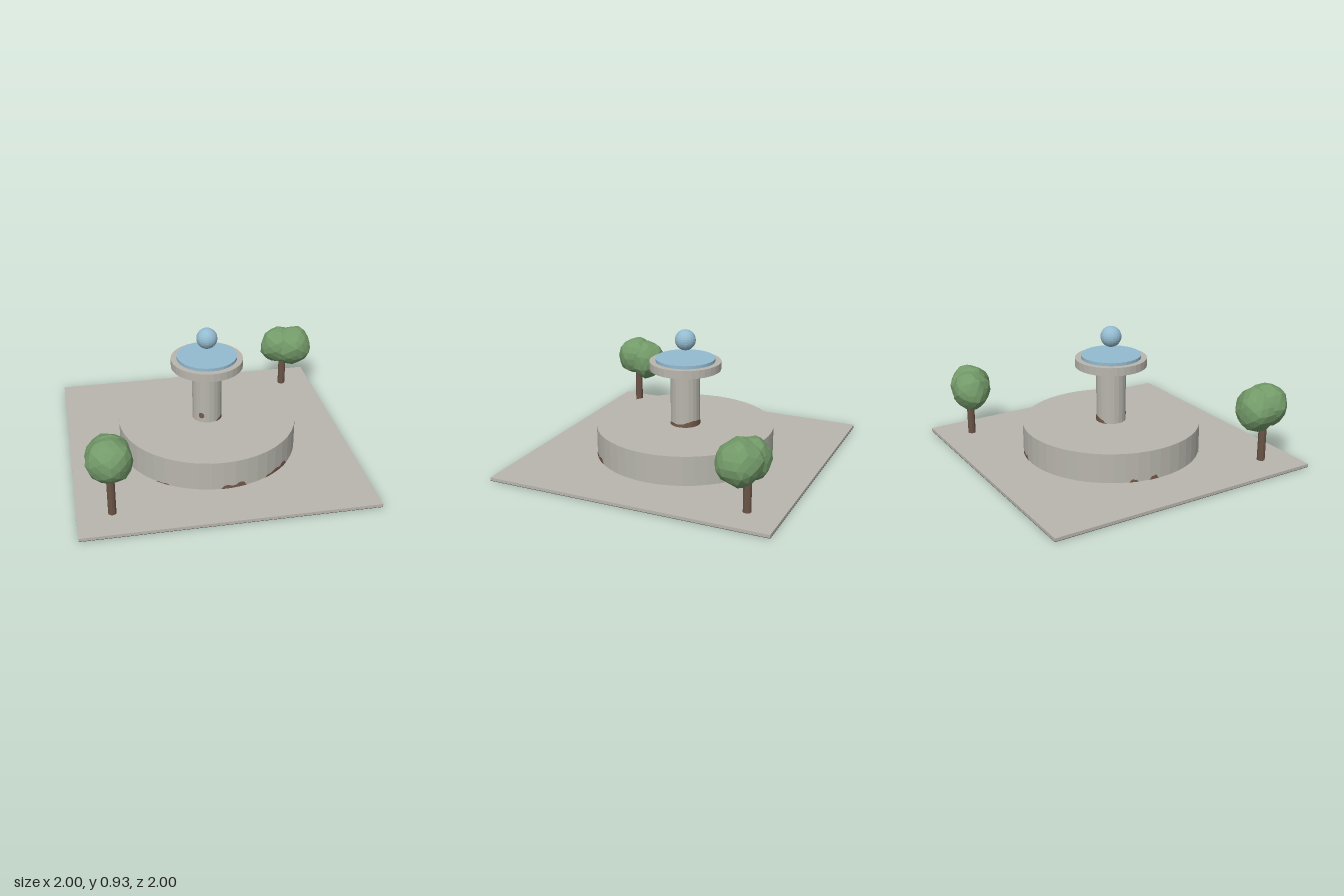
import * as THREE from 'three';

const paint = (name, color) => {
  const m = new THREE.MeshStandardMaterial({ color, flatShading: true });
  m.name = name;
  return m;
};

export function createModel() {
  const stone = paint('stone', 0xb8b6ad);
  const underside = paint('darkUnderside', 0x55534f);
  const water = paint('water', 0x94bbd0);
  const rust = paint('rust', 0x75594a);
  const bark = paint('bark', 0x6a5447);
  const leaf = paint('leaf', 0x739a69);

  const root = new THREE.Group();
  root.name = 'fountainPlaza';
  const add = (name, geometry, material, x = 0, y = 0, z = 0, parent = root) => {
    const mesh = new THREE.Mesh(geometry, material);
    mesh.name = name;
    mesh.position.set(x, y, z);
    parent.add(mesh);
    return mesh;
  };
  // Upright cylinder between two heights
  const drum = (name, r, y0, y1, sides, material, x = 0, z = 0, parent = root) =>
    add(name, new THREE.CylinderGeometry(r, r, y1 - y0, sides), material, x, (y0 + y1) / 2, z, parent);

  // Paving and fountain
  add('pavingUnderside', new THREE.BoxGeometry(2, 0.003, 2), underside, 0, 0.0015, 0);
  add('paving', new THREE.BoxGeometry(2, 0.021, 2), stone, 0, 0.0135, 0);
  drum('basin', 0.637, 0.024, 0.233, 48, stone);
  drum('column', 0.106, 0.233, 0.643, 20, stone);
  drum('upperDish', 0.255, 0.643, 0.702, 32, stone);
  drum('dishWater', 0.213, 0.702, 0.724, 32, water);
  add('waterBall', new THREE.SphereGeometry(0.074, 20, 14), water, 0, 0.853, 0);

  // Curved sheet around the axis; lower and upper give its edges for t in 0..1
  const sheet = (name, r, from, to, lower, upper) => {
    const n = Math.max(24, Math.round((to - from) / 2));
    const pos = [], index = [];
    for (let i = 0; i <= n; i++) {
      const t = i / n, a = THREE.MathUtils.degToRad(from + (to - from) * t);
      for (const y of [lower(t), upper(t)]) pos.push(r * Math.sin(a), y, r * Math.cos(a));
      if (i < n) {
        const k = i * 2;
        index.push(k, k + 2, k + 1, k + 1, k + 2, k + 3);
      }
    }
    const g = new THREE.BufferGeometry();
    g.setAttribute('position', new THREE.Float32BufferAttribute(pos, 3));
    g.setIndex(index);
    g.computeVertexNormals();
    add(name, g, rust);
  };
  // Smooth edge through evenly spaced heights, given in thousandths
  const edge = (heights) => (t) => {
    const s = t * (heights.length - 1), i = Math.min(Math.floor(s), heights.length - 2);
    return THREE.MathUtils.lerp(heights[i], heights[i + 1], THREE.MathUtils.smoothstep(s - i, 0, 1)) / 1000;
  };

  // Rust along the basin foot: start angle, end angle, heights
  [[-44, -33, [0, 7, 5, 10, 0]], [-2, 15, [0, 25, 28, 17, 20, 37, 33, 0]],
    [28, 51, [0, 18, 16, 27, 30, 20, 36, 35, 0]], [159, 174, [0, 20, 26, 18, 28, 0]],
    [249, 256, [0, 20, 16, 0]], [262, 269, [0, 24, 28, 0]]].forEach(([a, b, heights]) => {
    const up = edge(heights);
    sheet('basinRust', 0.639, a, b, () => 0.024, (t) => 0.024 + up(t));
  });

  // Rust on the column: foot, top and a single spot
  const foot = edge([0, 20, 25, 20, 24, 36, 45, 42, 38, 25, 0]);
  const top = edge([0, 20, 26, 20, 25, 21, 10, 0]);
  sheet('columnFootRust', 0.108, 22, 223, () => 0.233, (t) => 0.233 + foot(t));
  sheet('columnTopRust', 0.108, 11, 107, (t) => 0.643 - top(t), () => 0.643);
  const round = (t) => 0.022 * Math.sqrt(Math.max(0, 1 - (2 * t - 1) ** 2));
  sheet('columnRustSpot', 0.108, -43, -20, (t) => 0.288 - round(t), (t) => 0.288 + round(t));

  // Lumpy faceted foliage ball with a smooth rule for the bumps
  const lobe = (rx, ry, rz, seed) => {
    const g = new THREE.IcosahedronGeometry(1, 2);
    const p = g.attributes.position, v = new THREE.Vector3();
    for (let i = 0; i < p.count; i++) {
      v.fromBufferAttribute(p, i).normalize();
      const bump = Math.sin(5.1 * v.x + seed) * Math.sin(4.7 * v.y + 2 * seed) + 0.8 * Math.sin(5.6 * v.z + 3 * seed + v.x * 3);
      v.multiplyScalar(1 + 0.045 * bump);
      p.setXYZ(i, v.x * rx, v.y * ry, v.z * rz);
    }
    g.computeVertexNormals();
    return g;
  };

  // Trees: trunk position, trunk top, lobes as centre then radii
  const trees = [
    [-0.768, 0.768, 0.32, [[-0.768, 0.442, 0.785, 0.15, 0.147, 0.145], [-0.768, 0.415, 0.695, 0.15, 0.155, 0.137]]],
    [0.767, -0.767, 0.3, [[0.73, 0.372, -0.77, 0.143, 0.142, 0.135], [0.83, 0.377, -0.735, 0.153, 0.155, 0.148]]],
  ];
  trees.forEach(([x, z, h, lobes], k) => {
    const tree = new THREE.Group();
    tree.name = 'tree';
    root.add(tree);
    drum('trunk', 0.028, 0.024, h, 10, bark, x, z, tree);
    lobes.forEach(([cx, cy, cz, rx, ry, rz], j) =>
      add('foliage', lobe(rx, ry, rz, 1 + k * 2.3 + j * 1.4), leaf, cx, cy, cz, tree));
  });
  return root;
}
